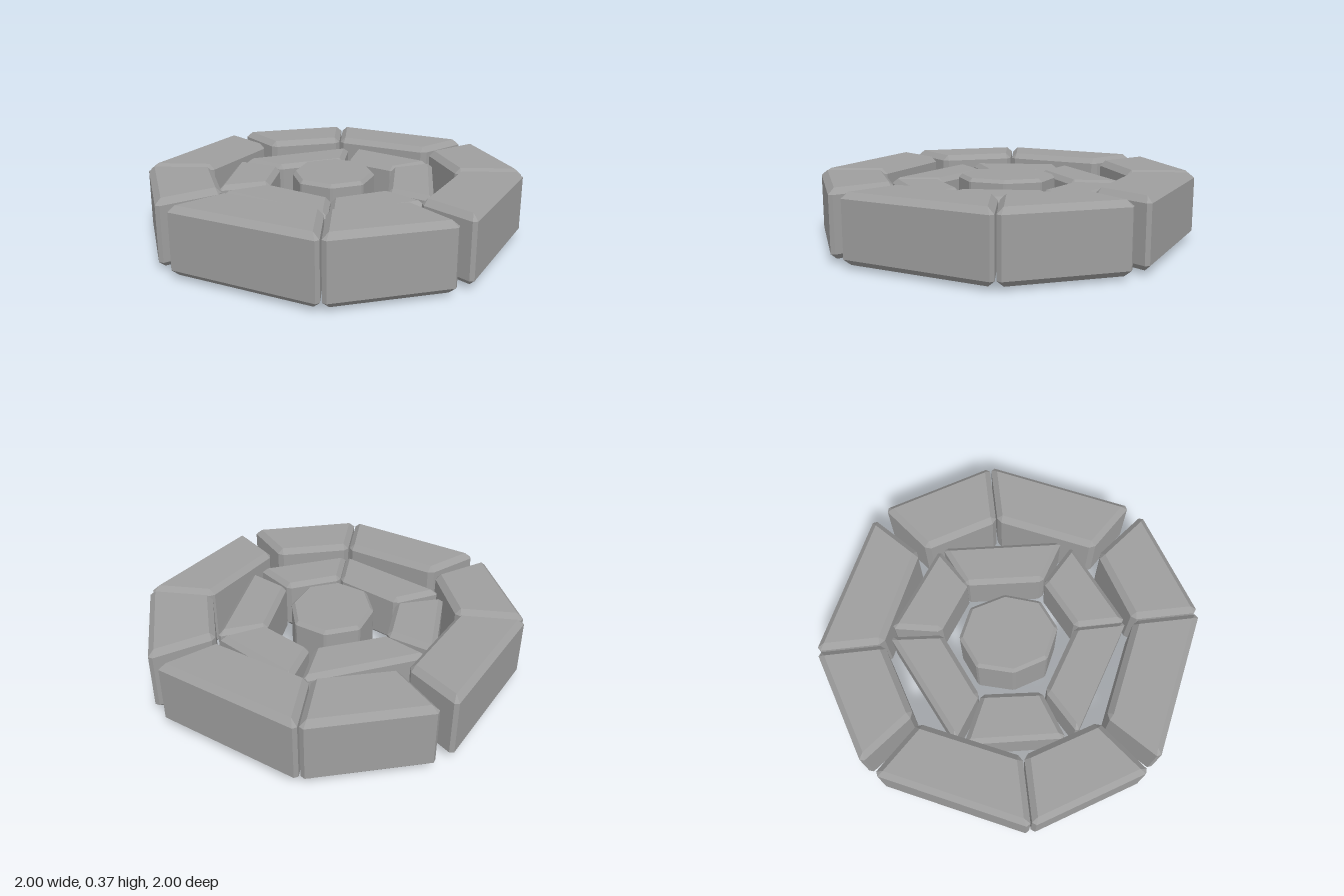
import * as THREE from 'three';

const material = new THREE.MeshStandardMaterial({ color: 0x9e9e9e, flatShading: true });

// Convex block from an [x, z] outline: top and bottom edges bevelled by b,
// upright edges trimmed by cut along each neighbouring side
function bevelledBlock(outline, y0, y1, b, cut) {
  let pts = outline.map(([x, z]) => new THREE.Vector2(x, z));
  if (THREE.ShapeUtils.area(pts) < 0) pts = pts.reverse();
  const n = pts.length;

  // direction and outward normal of each side
  const dirs = pts.map((p, i) => pts[(i + 1) % n].clone().sub(p).normalize());
  const normals = dirs.map(d => new THREE.Vector2(d.y, -d.x));
  const inset = [], wide = [];
  pts.forEach((p, i) => {
    const h = (i + n - 1) % n, a = normals[h], c = normals[i];
    const q = p.clone().addScaledVector(a.clone().add(c), -b / (1 + a.dot(c)));
    inset.push(q, q);
    wide.push(p.clone().addScaledVector(dirs[h], -cut), p.clone().addScaledVector(dirs[i], cut));
  });

  const rings = [[inset, y0], [wide, y0 + b], [wide, y1 - b], [inset, y1]]
    .map(([ring, y]) => ring.map(p => new THREE.Vector3(p.x, y, p.y)));
  const pos = [];
  const tri = (p, q, r) => {
    if (p.equals(q) || q.equals(r) || p.equals(r)) return;
    pos.push(...p.toArray(), ...q.toArray(), ...r.toArray());
  };
  const m = 2 * n;
  for (let k = 0; k < 3; k++) {
    for (let i = 0; i < m; i++) {
      const j = (i + 1) % m, lo = rings[k], hi = rings[k + 1];
      tri(lo[i], hi[i], hi[j]);
      tri(lo[i], hi[j], lo[j]);
    }
  }
  // caps
  for (let i = 2; i < m - 2; i += 2) {
    tri(rings[3][0], rings[3][i + 2], rings[3][i]);
    tri(rings[0][0], rings[0][i], rings[0][i + 2]);
  }
  const geometry = new THREE.BufferGeometry();
  geometry.setAttribute('position', new THREE.Float32BufferAttribute(pos, 3));
  geometry.computeVertexNormals();
  return geometry;
}

function addBlock(parent, name, outline, y0, y1, b, cut) {
  const mesh = new THREE.Mesh(bevelledBlock(outline, y0, y1, b, cut), material);
  mesh.name = name;
  parent.add(mesh);
}

export function createModel() {
  const model = new THREE.Group();
  model.name = 'stoneRing';

  // Outer ring: a short and a long stone, repeated every quarter turn
  const outerRing = new THREE.Group();
  outerRing.name = 'outerRing';
  const shortStone = [[-0.605, -0.807], [0.002, -1.006], [0.002, -0.655], [-0.39, -0.53]];
  const longStone = [[0.01, -1.01], [0.75, -0.668], [0.51, -0.434], [0.01, -0.66]];
  for (let k = 0; k < 4; k++) {
    const turn = ([x, z]) => {
      for (let i = 0; i < k; i++) [x, z] = [-z, x];
      return [x, z];
    };
    addBlock(outerRing, `outerShortStone${k + 1}`, shortStone.map(turn), 0.017, 0.365, 0.03, 0.022);
    addBlock(outerRing, `outerLongStone${k + 1}`, longStone.map(turn), 0.017, 0.365, 0.03, 0.022);
  }
  model.add(outerRing);

  // Inner ring: six uneven stones, slightly lower
  const innerRing = new THREE.Group();
  innerRing.name = 'innerRing';
  [
    [[-0.535, -0.337], [0.06, -0.628], [0.04, -0.35], [-0.31, -0.19]],
    [[0.108, -0.618], [0.538, -0.327], [0.32, -0.185], [0.06, -0.358]],
    [[0.548, -0.308], [0.513, 0.35], [0.288, 0.215], [0.312, -0.2]],
    [[0.478, 0.4], [0.005, 0.622], [0.005, 0.355], [0.28, 0.218]],
    [[-0.563, 0.283], [-0.33, 0.148], [0.002, 0.352], [0.002, 0.625]],
    [[-0.56, -0.295], [-0.308, -0.18], [-0.33, 0.13], [-0.585, 0.222]],
  ].forEach((outline, i) => addBlock(innerRing, `innerStone${i + 1}`, outline, 0.04, 0.318, 0.025, 0.018));
  model.add(innerRing);

  // Central eight-sided stone, standing on the ground
  addBlock(model, 'centreStone', [
    [0, -0.265], [0.165, -0.19], [0.22, 0], [0.16, 0.185],
    [0, 0.257], [-0.165, 0.18], [-0.222, 0], [-0.17, -0.19],
  ], 0, 0.345, 0.018, 0.008);

  return model;
}
